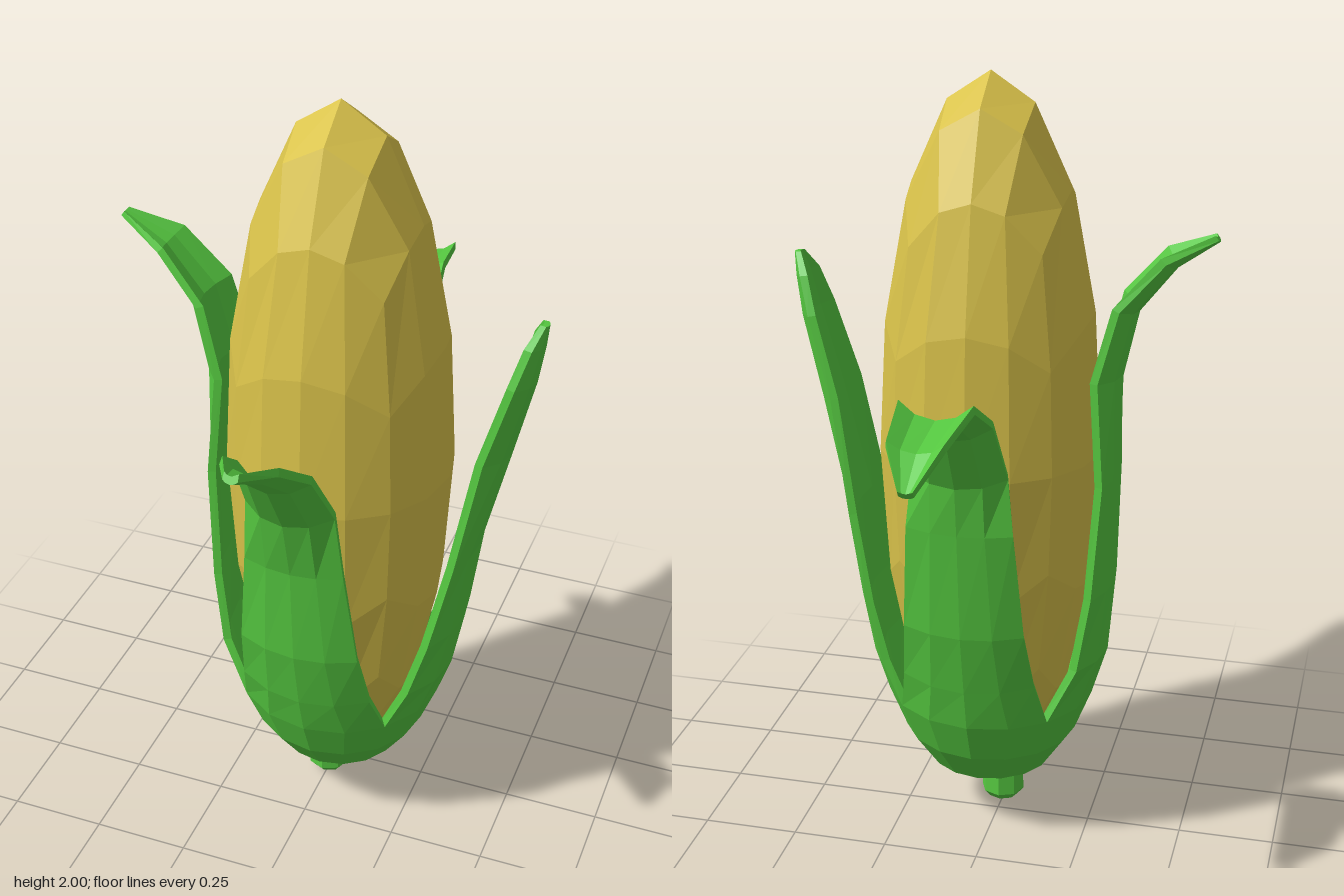
import * as THREE from 'three';

const green = new THREE.MeshStandardMaterial({ color: 0x55c840, flatShading: true });
const yellow = new THREE.MeshStandardMaterial({ color: 0xd9c24a, flatShading: true });

// Rings shared by all leaves, forming the closed cup: [radius, y]
const CUP = [[0.05, 0.105], [0.165, 0.155], [0.23, 0.25], [0.275, 0.365]];

// Free part of each leaf, along its outer middle line: [radius, y, half width]
const LEAVES = {
  frontLeaf: { turn: 0, spine: [[0.305, 0.48, 0.172], [0.337, 0.65, 0.155], [0.35, 0.92, 0.128],
    [0.39, 1.09, 0.113], [0.475, 1.24, 0.095], [0.59, 1.34, 0.07], [0.675, 1.395, 0.018]] },
  leftLeaf: { turn: Math.PI / 2, spine: [[0.31, 0.47, 0.185], [0.34, 0.63, 0.17], [0.37, 0.865, 0.137],
    [0.44, 1.157, 0.104], [0.49, 1.37, 0.08], [0.505, 1.47, 0.05], [0.51, 1.525, 0.014]] },
  backLeaf: { turn: Math.PI, spine: [[0.3, 0.48, 0.172], [0.335, 0.65, 0.155], [0.36, 0.94, 0.135],
    [0.375, 1.07, 0.12], [0.45, 1.22, 0.105], [0.54, 1.285, 0.092], [0.69, 1.265, 0.068], [0.775, 1.21, 0.018]] },
  rightLeaf: { turn: -Math.PI / 2, spine: [[0.315, 0.5, 0.172], [0.33, 0.7, 0.15], [0.335, 1.0, 0.122],
    [0.338, 1.26, 0.105], [0.375, 1.43, 0.09], [0.465, 1.545, 0.066], [0.565, 1.615, 0.014]] },
};

// Curved, thick leaf facing +z: a closed loop of outer and inner points per station
function leafGeometry(spine) {
  const steps = 4, loop = 2 * (steps + 1), thick = 0.02;
  const stations = [...CUP.map(([r, y]) => [r, y, r * Math.SQRT1_2]), ...spine];
  const positions = [], index = [];
  stations.forEach(([r, y, w], j) => {
    // Inward direction: level in the cup, square to the bend above it
    let nz = -1, ny = 0;
    if (j >= CUP.length) {
      const a = stations[j - 1], b = stations[Math.min(j + 1, stations.length - 1)];
      const len = Math.hypot(b[0] - a[0], b[1] - a[1]);
      nz = -(b[1] - a[1]) / len;
      ny = (b[0] - a[0]) / len;
    }
    const curve = y > 1 ? w * 1.35 : r;
    const half = Math.asin(w / curve);
    for (let i = 0; i < loop; i++) {
      const inner = i > steps;
      const k = inner ? loop - 1 - i : i;
      const t = half * (2 * k / steps - 1);
      const depth = curve * (1 - Math.cos(t)) + (inner ? Math.min(thick, w) : 0);
      positions.push(curve * Math.sin(t) * (inner ? 0.96 : 1), y + ny * depth, r + nz * depth);
    }
  });
  for (let j = 0; j < stations.length - 1; j++) {
    for (let i = 0; i < loop; i++) {
      const a = j * loop + i, b = j * loop + (i + 1) % loop;
      index.push(a, b, b + loop, a, b + loop, a + loop);
    }
  }
  // Close the tip
  const last = (stations.length - 1) * loop;
  for (let i = 1; i < loop - 1; i++) index.push(last, last + i, last + i + 1);
  const g = new THREE.BufferGeometry();
  g.setAttribute('position', new THREE.Float32BufferAttribute(positions, 3));
  g.setIndex(index);
  g.computeVertexNormals();
  return g;
}

// Ellipsoid made from a cube with a 4 x 4 grid per side
function cobGeometry() {
  const g = new THREE.BoxGeometry(2, 2, 2, 4, 4, 4);
  const p = g.attributes.position, v = new THREE.Vector3();
  const spread = (c) => Math.tan(c * Math.PI / 4);
  for (let i = 0; i < p.count; i++) {
    v.fromBufferAttribute(p, i);
    v.set(spread(v.x), spread(v.y), spread(v.z)).normalize();
    p.setXYZ(i, v.x * 0.285, v.y * 0.95, v.z * 0.285);
  }
  g.computeVertexNormals();
  return g;
}

export function createModel() {
  const model = new THREE.Group();
  model.name = 'cornCob';
  const add = (name, geometry, material, x, y, z) => {
    const mesh = new THREE.Mesh(geometry, material);
    mesh.name = name;
    mesh.position.set(x, y, z);
    model.add(mesh);
    return mesh;
  };

  add('cob', cobGeometry(), yellow, 0.03, 1.05, 0.05);

  // Four husk leaves joined at the base
  for (const [name, { turn, spine }] of Object.entries(LEAVES)) {
    add(name, leafGeometry(spine), green, 0.03, 0, 0.05).rotation.y = turn;
  }

  // Short bevelled stem
  const stem = [[0, 0], [0.042, 0.015], [0.058, 0.035], [0.055, 0.095], [0.05, 0.14], [0, 0.14]]
    .map(([r, y]) => new THREE.Vector2(r, y));
  add('stem', new THREE.LatheGeometry(stem, 8), green, 0, 0, 0.06);

  return model;
}
